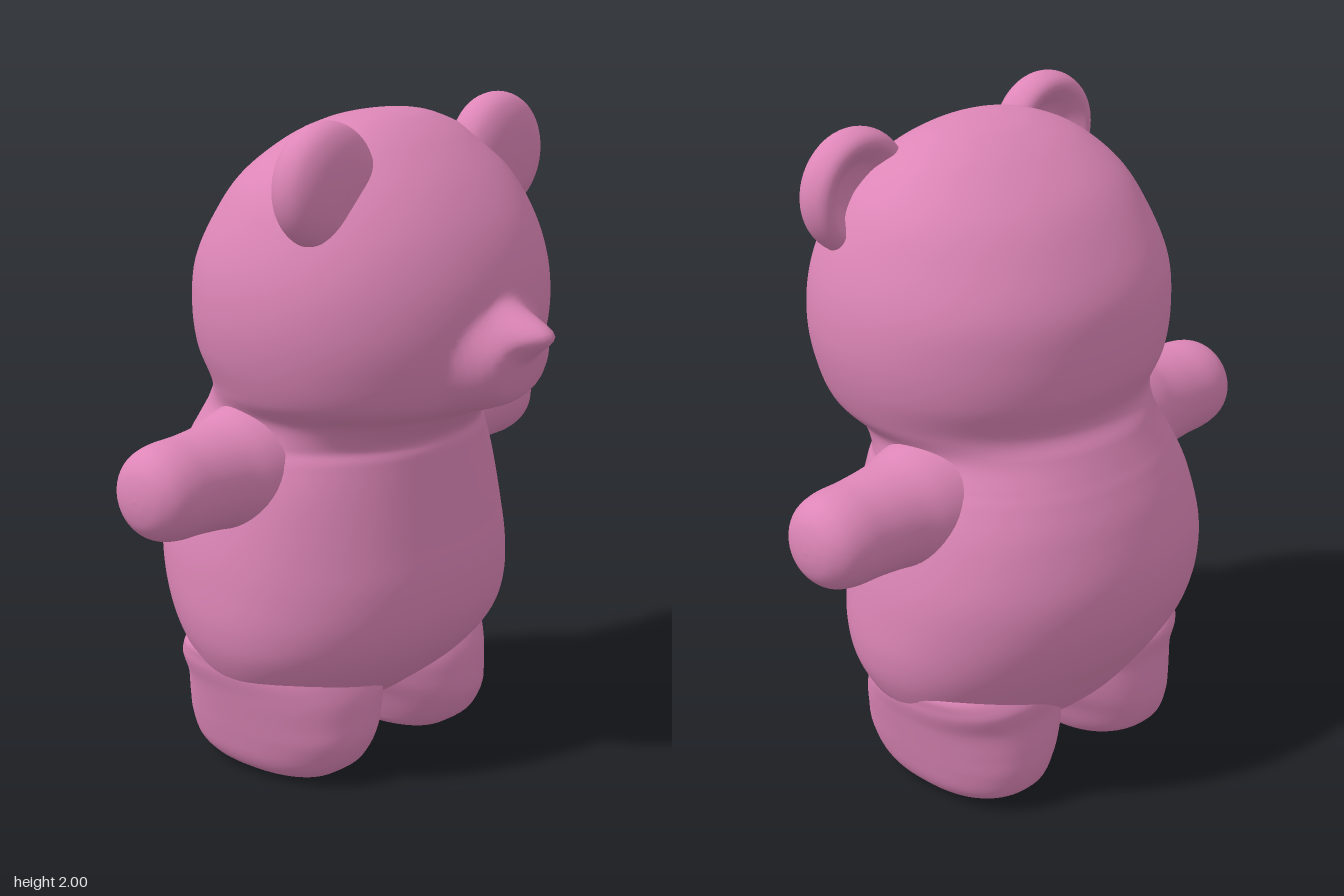
import * as THREE from 'three';

const smooth = THREE.MathUtils.smoothstep;

// Closed skin over rows of [height, xMin, xMax, zMin, zMax], smoothed along the height.
function loft(rows, steps, sides, power, push) {
  const spline = (pick) => new THREE.CatmullRomCurve3(rows.map(pick), false, 'catmullrom', 0.5);
  const across = spline((r) => new THREE.Vector3(r[1], r[0], r[2]));
  const depth = spline((r) => new THREE.Vector3(r[3], r[0], r[4]));
  const round = (v) => Math.sign(v) * Math.pow(Math.abs(v), 2 / power);
  const pos = [], index = [];
  for (let i = 0; i <= steps; i++) {
    const a = across.getPoint(i / steps), b = depth.getPoint(i / steps);
    for (let j = 0; j < sides; j++) {
      const t = (j / sides) * Math.PI * 2;
      const x = (a.x + a.z) / 2 + ((a.z - a.x) / 2) * round(Math.cos(t));
      const z = (b.x + b.z) / 2 + ((b.z - b.x) / 2) * round(Math.sin(t));
      pos.push(x, a.y, z + (push ? push(x, a.y, z) : 0));
      if (i < steps) {
        const p = i * sides + j, q = i * sides + ((j + 1) % sides);
        index.push(p, p + sides, q, q, p + sides, q + sides);
      }
    }
  }
  const g = new THREE.BufferGeometry();
  g.setAttribute('position', new THREE.Float32BufferAttribute(pos, 3));
  g.setIndex(index);
  g.computeVertexNormals();
  return g;
}

// Muzzle and nose swell forward out of the face.
function faceBump(x, y, z) {
  if (z < 0.1) return 0;
  const muzzle = Math.hypot(x / 0.2, (y - 1.3) / 0.17);
  const nose = Math.hypot(x / 0.1, (y - 1.405) / 0.1);
  return 0.085 * (1 - smooth(muzzle, 0.55, 1.1)) + 0.075 * (1 - smooth(nose, 0.1, 1.0));
}

export function createModel() {
  const model = new THREE.Group();
  model.name = 'bear';
  const pink = new THREE.MeshStandardMaterial({ color: 0xdd86b7 });
  pink.name = 'pink';

  const add = (name, geometry) => {
    const mesh = new THREE.Mesh(geometry, pink);
    mesh.name = name;
    model.add(mesh);
    return mesh;
  };

  // Head and body in one skin: height, half width, front z, back z
  const torso = [
    [0.16, 0, -0.12, -0.12], [0.17, 0.2, 0, -0.28], [0.22, 0.38, 0.08, -0.38],
    [0.3, 0.485, 0.18, -0.45], [0.4, 0.545, 0.265, -0.52], [0.5, 0.568, 0.305, -0.58],
    [0.62, 0.568, 0.315, -0.622], [0.75, 0.555, 0.3, -0.63], [0.9, 0.52, 0.28, -0.595],
    [1.0, 0.48, 0.267, -0.555], [1.05, 0.455, 0.262, -0.53], [1.12, 0.44, 0.33, -0.495],
    [1.19, 0.485, 0.43, -0.46], [1.3, 0.525, 0.475, -0.5], [1.42, 0.543, 0.49, -0.51],
    [1.55, 0.535, 0.475, -0.495], [1.68, 0.495, 0.425, -0.43], [1.8, 0.43, 0.34, -0.34],
    [1.9, 0.32, 0.235, -0.215], [1.955, 0.2, 0.15, -0.11], [1.975, 0.1, 0.09, -0.03],
    [1.98, 0, 0.04, 0.04],
  ].map(([y, w, f, b]) => [y, -w, w, b, f]);
  add('headAndBody', loft(torso, 190, 160, 2.1, faceBump));

  // Leg: height, inner x, outer x, front z, back z
  const leg = [
    [0, 0.26, 0.26, -0.14, -0.14], [0.003, 0.16, 0.36, 0.03, -0.31],
    [0.02, 0.11, 0.41, 0.08, -0.37], [0.06, 0.085, 0.44, 0.13, -0.43],
    [0.13, 0.055, 0.462, 0.165, -0.455], [0.2, 0.02, 0.48, 0.165, -0.455],
    [0.28, 0, 0.5, 0.15, -0.445], [0.36, 0.03, 0.52, 0.1, -0.44],
    [0.42, 0.15, 0.5, 0, -0.35], [0.44, 0.3, 0.3, -0.1, -0.1],
  ];

  // Arm: distance from the middle, radius
  const arm = [
    [0.3, 0.21], [0.45, 0.18], [0.54, 0.156], [0.65, 0.145], [0.74, 0.142],
    [0.8, 0.126], [0.838, 0.09], [0.855, 0.045], [0.86, 0],
  ].map(([d, r]) => [d, -r, r, -r, r]);

  // Ear: cupped disc, hollow at the back
  const earProfile = new THREE.SplineCurve([
    [0, 0], [0.07, -0.015], [0.11, -0.045], [0.14, -0.062], [0.168, -0.045],
    [0.18, 0], [0.16, 0.045], [0.1, 0.075], [0, 0.085],
  ].map(([r, y]) => new THREE.Vector2(r, y))).getPoints(40);
  earProfile.forEach((p) => { p.x = Math.max(p.x, 0); });

  for (const [side, s] of [['left', 1], ['right', -1]]) {
    const legRows = leg.map(([y, i, o, f, b]) => [y, s > 0 ? i : -o, s > 0 ? o : -i, b, f]);
    add(side + 'Leg', loft(legRows, 60, 64, 2.4));

    const armMesh = add(side + 'Arm', loft(arm, 50, 48, 2).rotateZ(-s * Math.PI / 2));
    armMesh.position.set(0, 0.965, -0.145);

    const ear = add(side + 'Ear', new THREE.LatheGeometry(earProfile, 56).rotateX(Math.PI / 2));
    ear.position.set(s * 0.382, 1.82, 0.148);
  }
  return model;
}
